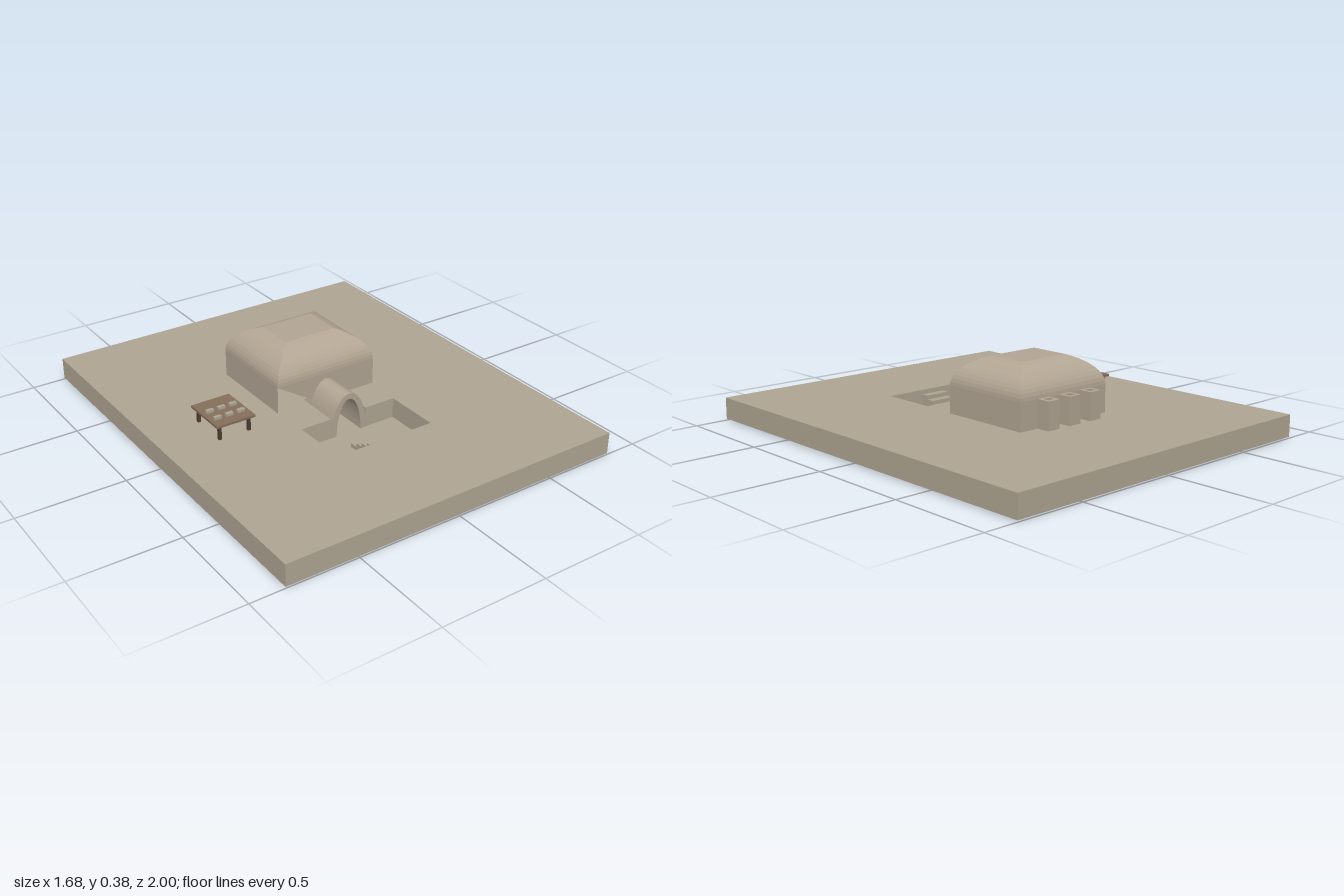
import * as THREE from 'three';

export function createModel() {
  const model = new THREE.Group();
  const mat = (name, color) => {
    const m = new THREE.MeshStandardMaterial({ color });
    m.name = name;
    return m;
  };
  const sand = mat('sand', 0xb0a693);
  const plaster = mat('plaster', 0xb3a694);
  plaster.side = THREE.DoubleSide;
  const wood = mat('wood', 0x85705a);
  const darkWood = mat('dark wood', 0x4e3d30);
  const clay = mat('pale clay', 0xada797);

  const add = (name, geometry, material, parent = model) => {
    const mesh = new THREE.Mesh(geometry, material);
    mesh.name = name;
    parent.add(mesh);
    return mesh;
  };
  const box = (name, w, h, d, x, y, z, material, parent) =>
    add(name, new THREE.BoxGeometry(w, h, d), material, parent).position.set(x, y, z);
  const outline = (Type, pts) => new Type(pts.map(([x, y]) => new THREE.Vector2(x, y)));
  const rect = (x0, x1, y0, y1) => [[x0, y0], [x1, y0], [x1, y1], [x0, y1]];
  // Extrudes a plan drawn in x and z between two heights
  const slab = (name, shape, y0, y1, material) => {
    const g = new THREE.ExtrudeGeometry(shape, { depth: y1 - y0, bevelEnabled: false });
    g.rotateX(Math.PI / 2).translate(0, y1, 0);
    return add(name, g, material);
  };

  const G = 0.11; // ground level
  const F = 0.012; // pit floor level

  // Ground with a sunken court and entrance trench
  const pit = [[-0.25, 0.22], [-0.095, 0.22], [-0.095, 0], [0.095, 0],
    [0.095, 0.22], [0.25, 0.22], [0.25, 0.493], [-0.25, 0.493]];
  const ground = outline(THREE.Shape, rect(-0.84, 0.84, -1, 1));
  ground.holes.push(outline(THREE.Path, pit));
  slab('ground', ground, 0.007, G, sand);
  slab('pitFloor', outline(THREE.Shape, pit), 0, F, sand);

  // Steps rising toward the front of the court
  const stairs = new THREE.Group();
  stairs.name = 'stairs';
  model.add(stairs);
  for (let i = 0; i < 4; i++) {
    const h = (i + 1) * 0.0196;
    box('step', 0.126, h, 0.0385, 0, F + h / 2, 0.35 + i * 0.0385, sand, stairs);
  }

  // Arched entrance passage
  const arch = new THREE.Shape();
  arch.moveTo(0.097, 0);
  arch.absellipse(0, 0, 0.097, 0.2, 0, Math.PI, false);
  arch.lineTo(-0.066, 0);
  arch.absellipse(0, 0, 0.066, 0.173, Math.PI, 0, true);
  arch.closePath();
  const passage = new THREE.ExtrudeGeometry(arch, { depth: 0.223, bevelEnabled: false, curveSegments: 24 });
  add('entrancePassage', passage.translate(0, F, 0), plaster);

  // Cloister-vaulted house: rectangular rings that step inward along an elliptic arc
  const HX = 0.262, HZ = 0.228, CZ = -0.183, WALL = 0.24, N = 10;
  const ring = (inset, y) => [[1, 1], [1, -1], [-1, -1], [-1, 1]]
    .map(([sx, sz]) => [sx * (HX - inset), y, CZ + sz * (HZ - inset)]);
  const rings = [ring(0, G)];
  for (let i = 0; i <= N; i++) {
    const t = (i / N) * Math.PI / 3;
    rings.push(ring(0.26 * (1 - Math.cos(t)), WALL + 0.158 * Math.sin(t)));
  }
  const pos = [];
  const quad = (a, b, c, d) => pos.push(...a, ...b, ...c, ...a, ...c, ...d);
  for (let r = 0; r < rings.length - 1; r++) {
    for (let k = 0; k < 4; k++) {
      if (r === 0 && k === 3) continue; // the front wall has a doorway
      const n = (k + 1) % 4;
      quad(rings[r][k], rings[r][n], rings[r + 1][n], rings[r + 1][k]);
    }
  }
  quad(...rings[rings.length - 1]);
  const vault = new THREE.BufferGeometry();
  vault.setAttribute('position', new THREE.Float32BufferAttribute(pos, 3));
  vault.computeVertexNormals();
  add('vaultedHouse', vault, plaster);

  // Front wall cut by the inner curve of the passage
  const wall = new THREE.Shape();
  const a = Math.asin((G - F) / 0.173);
  wall.moveTo(-HX, G);
  wall.absellipse(0, F, 0.066, 0.173, Math.PI - a, a, true);
  wall.lineTo(HX, G);
  wall.lineTo(HX, WALL);
  wall.lineTo(-HX, WALL);
  wall.closePath();
  add('frontWall', new THREE.ShapeGeometry(wall, 24).translate(0, 0, CZ + HZ), plaster);

  // Hollow ventilation shafts on the back wall, with vents inside
  for (const x of [-0.128, 0, 0.128]) {
    const plan = outline(THREE.Shape, rect(x - 0.034, x + 0.034, -0.476, -0.411));
    plan.holes.push(outline(THREE.Path, rect(x - 0.018, x + 0.018, -0.458, -0.426)));
    slab('ventShaft', plan, G, 0.24, plaster);
    box('vent', 0.04, 0.05, 0.006, x, G + 0.025, -0.406, plaster);
  }

  // Work table with six clay blocks
  const table = new THREE.Group();
  table.name = 'table';
  table.position.set(-0.516, G, -0.002);
  model.add(table);
  box('tableTop', 0.192, 0.011, 0.228, 0, 0.073, 0, wood, table);
  for (const x of [-0.073, 0.073]) {
    for (const z of [-0.092, 0.092]) box('tableLeg', 0.014, 0.068, 0.014, x, 0.034, z, darkWood, table);
  }
  for (const x of [-0.058, 0, 0.058]) {
    for (const z of [-0.016, 0.053]) box('clayBlock', 0.035, 0.013, 0.017, x, 0.085, z, clay, table);
  }
  return model;
}
